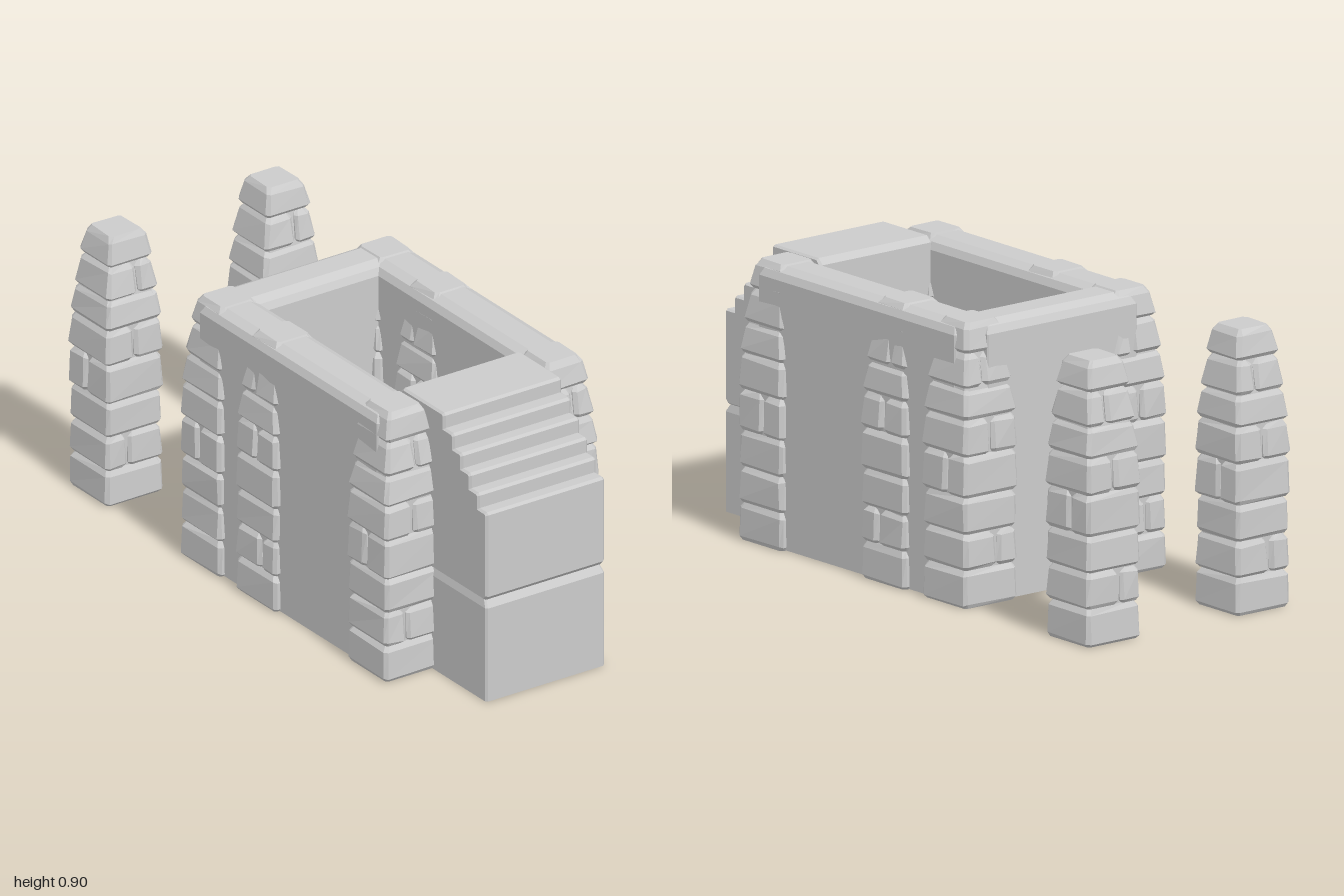
import * as THREE from 'three';

const material = new THREE.MeshStandardMaterial({ color: 0xcccccc, flatShading: true });

// Small seeded generator for the hewn irregularity of the stones
let seed = 7;
const wobble = (amount) => {
  seed = (seed * 16807) % 2147483647;
  return (seed / 2147483647 - 0.5) * 2 * amount;
};

function mesh(name, geometry) {
  const m = new THREE.Mesh(geometry, material);
  m.name = name;
  return m;
}

// Stack of chamfered rectangles; each level is [y, x0, x1, z0, z1, chamfer]
function loft(levels, rough = 0) {
  const rings = levels.map(([y, x0, x1, z0, z1, c], i) => {
    const r = i === 0 ? 0 : rough;
    return [
      [x1, z1 - c], [x1, z0 + c], [x1 - c, z0], [x0 + c, z0],
      [x0, z0 + c], [x0, z1 - c], [x0 + c, z1], [x1 - c, z1],
    ].map(([x, z]) => [x + wobble(r), y + (i > 0 && i < levels.length - 1 ? wobble(r) : 0), z + wobble(r)]);
  });
  const pos = [];
  const tri = (a, b, c) => pos.push(...a, ...b, ...c);
  for (let k = 0; k < rings.length - 1; k++) {
    for (let i = 0; i < 8; i++) {
      const j = (i + 1) % 8, lo = rings[k], hi = rings[k + 1];
      tri(lo[i], lo[j], hi[j]);
      tri(lo[i], hi[j], hi[i]);
    }
  }
  const last = rings[rings.length - 1];
  for (let i = 1; i < 7; i++) {
    tri(rings[0][0], rings[0][i + 1], rings[0][i]);
    tri(last[0], last[i], last[i + 1]);
  }
  const g = new THREE.BufferGeometry();
  g.setAttribute('position', new THREE.Float32BufferAttribute(pos, 3));
  g.computeVertexNormals();
  return g;
}

// One pillar stone: bounds at the foot, pulled in by the taper towards the top
function stone(y0, y1, b, taper) {
  const level = (y, inset, t, c) => [
    y, b.x0 + inset + (b.cutX0 ? 0 : t), b.x1 - inset - (b.cutX1 ? 0 : t),
    b.z0 + inset + (b.cutZ0 ? 0 : t), b.z1 - inset - (b.cutZ1 ? 0 : t), c,
  ];
  return loft([
    level(y0, 0.009, 0, 0.008),
    level(y0 + 0.012, 0, 0, 0.011),
    level(y1 - 0.02, 0.001, taper * 0.85, 0.011),
    level(y1, 0.013, taper, 0.009),
  ], 0.0025);
}

// Courses: bottom, top, half width, taper, optional joint axis and offset
const courses = [
  [0, 0.122, 0.107, 0.002],
  [0.122, 0.238, 0.107, 0.004, 'x', -0.025],
  [0.238, 0.355, 0.106, 0.002],
  [0.355, 0.487, 0.108, 0.003, 'z', -0.01],
  [0.487, 0.604, 0.109, 0.006, 'x', 0],
  [0.604, 0.703, 0.105, 0.012],
  [0.703, 0.811, 0.096, 0.016, 'x', 0.02],
  [0.811, 0.905, 0.084, 0.014],
];

function pillar(name, x, z, turn) {
  const group = new THREE.Group();
  group.name = name;
  for (const [y0, y1, h, taper, axis, at] of courses) {
    const full = { x0: -h, x1: h, z0: -h, z1: h };
    let parts = [full];
    if (axis === 'x') {
      parts = [{ ...full, x1: at - 0.003, cutX1: true }, { ...full, x0: at + 0.003, cutX0: true }];
    } else if (axis === 'z') {
      parts = [{ ...full, z1: at - 0.003, cutZ1: true }, { ...full, z0: at + 0.003, cutZ0: true }];
    }
    for (const part of parts) group.add(mesh('pillarStone', stone(y0, y1, part, taper)));
  }
  // Mortar behind the joints
  const core = (y, h) => [y, -h, h, -h, h, 0.01];
  group.add(mesh('pillarCore', loft([core(0.005, 0.092), core(0.65, 0.092), core(0.8, 0.066), core(0.9, 0.05)])));
  group.position.set(x, 0, z);
  group.rotation.y = turn;
  return group;
}

// Wall with a bevelled top edge
function wall(name, x0, x1, z0, z1) {
  const level = (y, i) => [y, x0 + i, x1 - i, z0 + i, z1 - i, 0.004];
  return mesh(name, loft([level(0.003, 0), level(0.862, 0), level(0.885, 0.012), level(0.9, 0.042)]));
}

// Upper half of the stair block, with worn step edges
function stairs() {
  const shape = new THREE.Shape();
  shape.moveTo(0.53, 0.346);
  shape.lineTo(0.985, 0.346);
  shape.lineTo(1, 0.362);
  const fronts = [1, 0.955, 0.91, 0.865, 0.82, 0.77];
  fronts.forEach((z, i) => {
    const y = 0.652 + i * 0.0505;
    shape.lineTo(z, y - 0.008);
    shape.lineTo(z - 0.008, y);
    if (i < 5) shape.lineTo(fronts[i + 1], y);
  });
  shape.lineTo(0.55, 0.9045);
  shape.lineTo(0.53, 0.885);
  const g = new THREE.ExtrudeGeometry(shape, {
    depth: 0.434, bevelEnabled: true, bevelThickness: 0.008, bevelSize: 0.006, bevelOffset: -0.006, bevelSegments: 1,
  });
  g.rotateY(-Math.PI / 2);
  g.translate(0.217, 0, 0);
  return g;
}

export function createModel() {
  seed = 7;
  const model = new THREE.Group();
  model.name = 'stoneEnclosure';

  // Corner, middle and free-standing pillars
  const rows = [['frontPillar', 0.61, 0], ['middlePillar', 0.01, Math.PI / 2],
    ['backPillar', -0.29, 0], ['freePillar', -0.891, 0]];
  for (const [name, z, turn] of rows) {
    for (const side of [-1, 1]) model.add(pillar(name, side * 0.3, z, turn));
  }

  // Side and back walls
  model.add(wall('leftWall', 0.215, 0.385, -0.32, 0.64));
  model.add(wall('rightWall', -0.385, -0.215, -0.32, 0.64));
  model.add(wall('backWall', -0.3, 0.3, -0.377, -0.207));

  // Stair block closing the front: plain base and stepped top
  model.add(mesh('stairBase', loft([
    [0, -0.225, 0.225, 0.53, 1, 0.006],
    [0.322, -0.225, 0.225, 0.53, 1, 0.006],
    [0.348, -0.218, 0.218, 0.537, 0.982, 0.006],
  ])));
  model.add(mesh('stairSteps', stairs()));
  return model;
}
